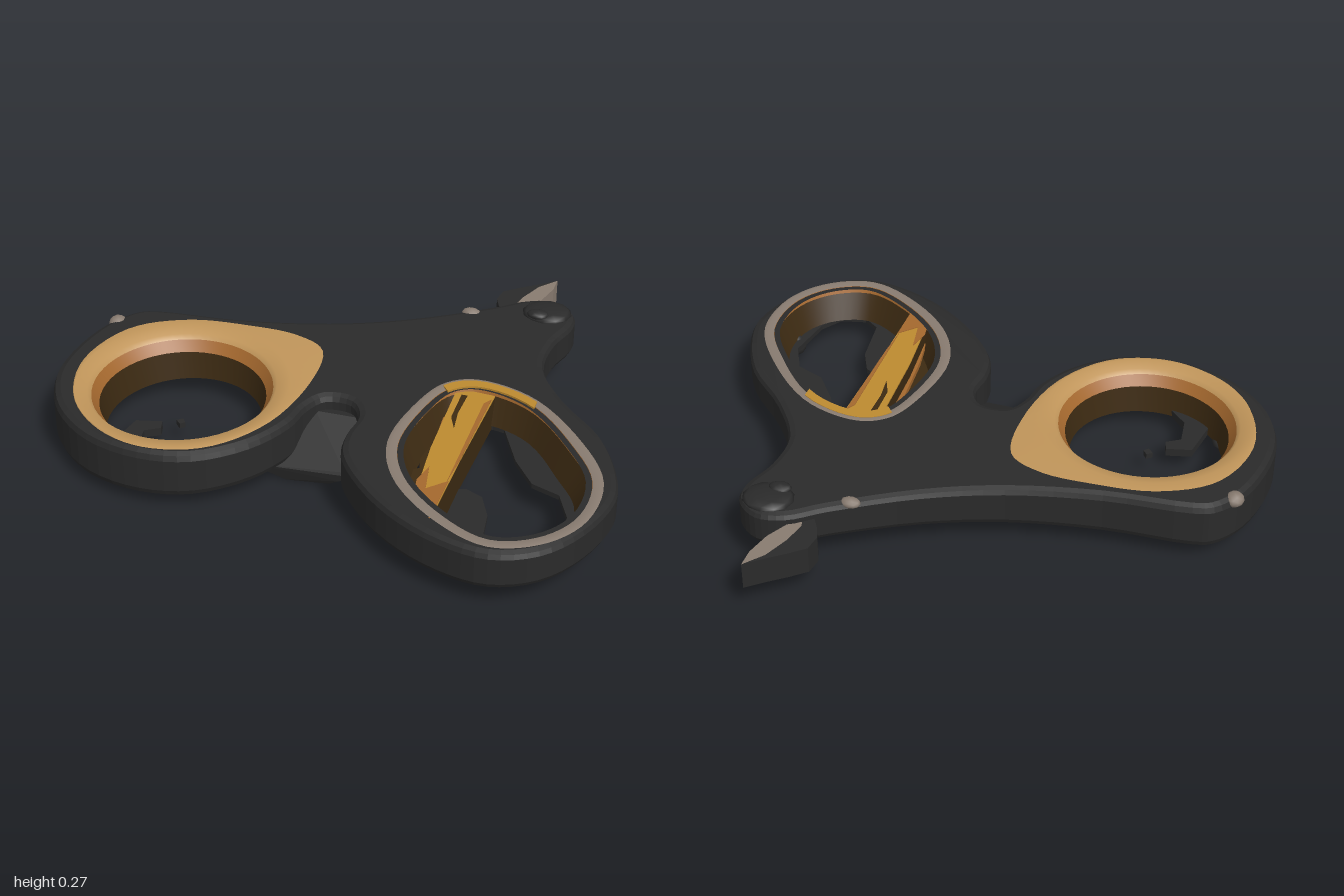
import * as THREE from 'three';
import { ConvexGeometry } from 'three/addons/geometries/ConvexGeometry.js';

const mat = (name, color) => new THREE.MeshStandardMaterial({ name, color, side: THREE.DoubleSide });
const V = (x, y, z) => new THREE.Vector3(x, y, z);

// Gently tilted upper and lower surfaces of the plate
const topY = (x, z) => 0.236 - 0.02 * z;
const botY = (x, z) => 0.085 - 0.03 * z + 0.03 * x;

// Closed smooth outline in plan, from [x, z] pairs
const smooth = (pts, n) =>
  new THREE.CatmullRomCurve3(pts.map(([x, z]) => V(x, 0, z)), true).getPoints(n).slice(0, n);
const inset = (loop, c, d) => loop.map(p => {
  const r = p.clone().sub(c);
  return r.setLength(r.length() - d).add(c);
});
const circle = (loop, c, r) => loop.map(p => p.clone().sub(c).setLength(r).add(c));
const setY = (loop, f) => loop.map(p => V(p.x, f(p.x, p.z), p.z));
const flat = loop => loop.map(p => new THREE.Vector2(p.x, -p.z));
const pairs = list => list.map(([x, z]) => V(x, 0, z));

// Plan shape extruded upwards
function slab(loop, holes, depth, bevel = 0) {
  const shape = new THREE.Shape(flat(loop));
  shape.holes = holes.map(h => new THREE.Path(flat(h)));
  const g = new THREE.ExtrudeGeometry(shape, {
    depth, bevelEnabled: bevel > 0, bevelThickness: bevel, bevelSize: bevel,
    bevelOffset: -bevel, bevelSegments: 2, steps: 1,
  });
  return g.rotateX(-Math.PI / 2);
}

// Skin between matching closed loops
function loft(loops) {
  const n = loops[0].length, idx = [];
  const flip = THREE.ShapeUtils.area(flat(loops[0])) > 0;
  for (let k = 0; k < loops.length - 1; k++)
    for (let i = 0; i < n; i++) {
      const a = k * n + i, b = k * n + (i + 1) % n;
      if (flip) idx.push(a + n, a, b, a + n, b, b + n);
      else idx.push(a, a + n, b, b, a + n, b + n);
    }
  const g = new THREE.BufferGeometry().setFromPoints(loops.flat());
  g.setIndex(idx);
  g.computeVertexNormals();
  return g;
}

export function createModel() {
  const model = new THREE.Group();
  const black = mat('charcoal', 0x2a2a2a), tan = mat('tan', 0xc0955a);
  const orange = mat('burnt orange', 0xa4682e), gold = mat('gold', 0xbd8a30);
  const brown = mat('dark brown', 0x3c2a12), grey = mat('warm grey', 0x887b70);
  const add = (name, g, m, y = 0) => {
    const mesh = new THREE.Mesh(g, m);
    mesh.name = name;
    mesh.position.y = y;
    model.add(mesh);
    return mesh;
  };

  const outline = smooth([
    [-0.87, -0.16], [-0.8, -0.185], [-0.5, -0.21], [-0.18, -0.28], [0.08, -0.385], [0.35, -0.545],
    [0.47, -0.63], [0.57, -0.645], [0.65, -0.58], [0.66, -0.5], [0.62, -0.37], [0.62, -0.21],
    [0.73, -0.03], [0.89, 0.14], [0.98, 0.33], [1, 0.46], [0.94, 0.65], [0.83, 0.79], [0.68, 0.85],
    [0.51, 0.82], [0.32, 0.72], [0.16, 0.57], [0.09, 0.46], [0.075, 0.36], [0.085, 0.25],
    [0.04, 0.18], [-0.05, 0.18], [-0.095, 0.25], [-0.12, 0.36], [-0.21, 0.51], [-0.37, 0.63],
    [-0.55, 0.66], [-0.75, 0.61], [-0.91, 0.48], [-0.99, 0.32], [-1, 0.16], [-0.95, -0.05]], 148);
  const roundC = V(-0.545, 0, 0.25), ovalC = V(0.63, 0, 0.4);
  const teardrop = smooth([
    [-0.125, 0.12], [-0.15, -0.09], [-0.27, -0.155], [-0.45, -0.165], [-0.67, -0.14], [-0.85, -0.03],
    [-0.93, 0.2], [-0.87, 0.43], [-0.72, 0.58], [-0.54, 0.635], [-0.34, 0.58], [-0.19, 0.4]], 64);
  const oval = smooth([
    [0.42, -0.06], [0.62, -0.01], [0.83, 0.19], [0.95, 0.4], [0.935, 0.62], [0.83, 0.76],
    [0.67, 0.82], [0.48, 0.74], [0.3, 0.57], [0.225, 0.38], [0.255, 0.14], [0.32, -0.01]], 64);

  // Main plate with two finger openings
  const plate = slab(outline, [circle(teardrop, roundC, 0.35), inset(oval, ovalC, 0.033)], 0.11, 0.025);
  const p = plate.attributes.position;
  for (let i = 0; i < p.count; i++) {
    const x = p.getX(i), z = p.getZ(i), t = (p.getY(i) + 0.025) / 0.16;
    p.setY(i, THREE.MathUtils.lerp(botY(x, z), topY(x, z), t));
  }
  plate.computeVertexNormals();
  add('handlePlate', plate, black);

  // Round opening: broad tan collar, narrow orange lip, dark lower wall
  const up = d => (x, z) => topY(x, z) + d, low = d => (x, z) => botY(x, z) + d;
  const ring = (r, f) => setY(circle(teardrop, roundC, r), f);
  add('roundCollar', loft([setY(teardrop, up(0.003)), ring(0.37, up(0.008)), ring(0.325, up(-0.003)),
    ring(0.312, up(-0.018))]), tan);
  add('roundLip', loft([ring(0.312, up(-0.018)), ring(0.287, up(-0.055))]), orange);
  add('roundWall', loft([ring(0.287, up(-0.055)), ring(0.27, low(0.015))]), brown);
  add('roundUnderside', loft([ring(0.27, low(0.015)), ring(0.385, low(-0.002))]), black);

  // Oval opening: grey rim, thin orange lip, dark sloping wall
  const oring = (d, f) => setY(inset(oval, ovalC, d), f);
  add('ovalRim', loft([oring(0, up(0.003)), oring(0.015, up(0.007)), oring(0.037, up(0.002))]), grey);
  add('ovalLip', loft([oring(0.037, up(0.002)), oring(0.046, up(-0.022))]), orange);
  add('ovalWall', loft([oring(0.046, up(-0.022)), oring(0.09, low(0.018))]), brown);

  // Gilded stretch along the back of the oval rim
  const arc = d => {
    const l = inset(oval, ovalC, d);
    return [...l.slice(-6), ...l.slice(0, 7)];
  };
  add('rimGilding', slab([...arc(0.016), ...arc(0.055).reverse()], [], 0.007), gold, 0.238);

  // Ragged ledge below the oval opening, and the brown lining beside the divider
  const opening = pairs([[0.5, 0.02], [0.54, 0.03], [0.62, 0.2], [0.7, 0.31], [0.8, 0.35], [0.85, 0.46],
    [0.82, 0.64], [0.77, 0.72], [0.68, 0.745], [0.62, 0.7], [0.6, 0.51], [0.56, 0.42], [0.5, 0.39],
    [0.45, 0.4], [0.44, 0.66], [0.34, 0.55], [0.285, 0.4], [0.3, 0.16], [0.37, 0.02]]);
  const ledge = slab(inset(oval, ovalC, 0.003), [opening], 0.018);
  const lp = ledge.attributes.position;
  for (let i = 0; i < lp.count; i++)
    lp.setY(i, lp.getY(i) + botY(lp.getX(i), lp.getZ(i)) - 0.001);
  add('ovalLedge', ledge, black);
  const sliver = pairs([[0.315, 0.07], [0.325, 0.2], [0.325, 0.33], [0.3, 0.35], [0.29, 0.2]]);
  const lining = pairs([[0.36, -0.01], [0.41, 0], [0.41, 0.66], [0.33, 0.56], [0.26, 0.4], [0.28, 0.14]]);
  add('ledgeLining', slab(lining, [sliver], 0.008), brown, 0.106);

  // Divider across the oval opening, gold on top and worn to orange at its front
  const bar = pairs([[0.36, -0.02], [0.495, -0.01], [0.475, 0.4], [0.465, 0.76], [0.39, 0.7], [0.365, 0.35]]);
  add('divider', slab(bar, [], 0.112), brown, 0.1);
  add('dividerTop', slab(bar, [], 0.006), gold, 0.212);
  const tint = (name, list, m) => add(name, slab(pairs(list), [], 0.003), m, 0.2185);
  tint('dividerWornEnd', [[0.37, 0.54], [0.39, 0.46], [0.41, 0.58], [0.47, 0.52], [0.465, 0.73], [0.39, 0.68]], orange);
  tint('dividerStreak', [[0.385, 0.02], [0.405, 0.02], [0.4, 0.13], [0.41, 0.22], [0.385, 0.16]], brown);
  tint('dividerEdge', [[0.47, 0.05], [0.49, 0.02], [0.475, 0.4], [0.465, 0.52]], orange);
  const flank = pairs([[0.335, 0.03], [0.36, 0.0], [0.365, 0.35], [0.385, 0.62], [0.36, 0.45]]);
  add('dividerFlank', slab(flank, [], 0.02), orange, 0.14);

  // Loose chips left in the round opening
  const chip = slab(pairs([[-0.7, 0.31], [-0.61, 0.29], [-0.6, 0.33], [-0.65, 0.36], [-0.64, 0.46],
    [-0.58, 0.52], [-0.66, 0.53], [-0.73, 0.46]]), [], 0.03);
  add('chip', chip, black, 0.06);
  const crumb = slab(pairs([[-0.57, 0.26], [-0.55, 0.245], [-0.535, 0.265], [-0.55, 0.28]]), [], 0.02);
  add('crumb', crumb, black, 0.065);

  // Keel below the bridge, its front sloping up into the notch between the rings
  add('bridgeKeel', new ConvexGeometry([
    V(-0.2, 0.012, 0.34), V(-0.13, 0.005, 0.38), V(0.02, 0.015, 0.375), V(0.06, 0.04, 0.385),
    V(-0.26, 0.06, 0.4), V(0.11, 0.07, 0.39), V(-0.24, 0.05, 0.05), V(0.16, 0.07, 0.05),
    V(-0.3, 0.08, -0.2), V(0.42, 0.108, -0.42), V(-0.2, 0.12, 0.2), V(0.12, 0.12, 0.2),
    V(-0.14, 0.07, 0.385), V(0.08, 0.08, 0.385), V(-0.08, 0.18, 0.2), V(0.07, 0.18, 0.2)]), black);

  // Curved blade stub: dark outer skin and grey inner half
  const outer = pairs([[0.4, -0.55], [0.365, -0.61], [0.345, -0.66], [0.355, -0.72], [0.41, -0.765],
    [0.465, -0.805], [0.531, -0.857], [0.474, -0.79], [0.435, -0.7], [0.415, -0.62], [0.43, -0.56]]);
  const inner = pairs([[0.474, -0.79], [0.531, -0.857], [0.53, -0.79], [0.505, -0.7], [0.46, -0.62],
    [0.46, -0.57], [0.43, -0.56], [0.415, -0.62], [0.435, -0.7]]);
  add('bladeOuter', slab(outer, [], 0.1), black, 0.11);
  add('bladeInner', slab(inner, [], 0.1), grey, 0.11);

  // Small knobs: name, position, radii, material
  for (const [name, x, y, z, rx, ry, rz, m] of [
    ['pivotPad', 0.555, 0.248, -0.555, 0.09, 0.02, 0.078, black],
    ['pivotKnob', 0.53, 0.262, -0.51, 0.04, 0.016, 0.028, black],
    ['sideStud', 0.29, 0.238, -0.49, 0.035, 0.018, 0.025, grey],
    ['cornerStud', -0.92, 0.222, -0.08, 0.033, 0.025, 0.035, grey],
    ['lowerKnob', 0.89, 0.08, 0.53, 0.045, 0.045, 0.045, black],
    ['lowerPad', -0.84, 0.066, 0.42, 0.09, 0.022, 0.06, black],
  ]) {
    const knob = add(name, new THREE.IcosahedronGeometry(1, 1), m);
    knob.scale.set(rx, ry, rz);
    knob.position.set(x, y, z);
  }
  return model;
}
